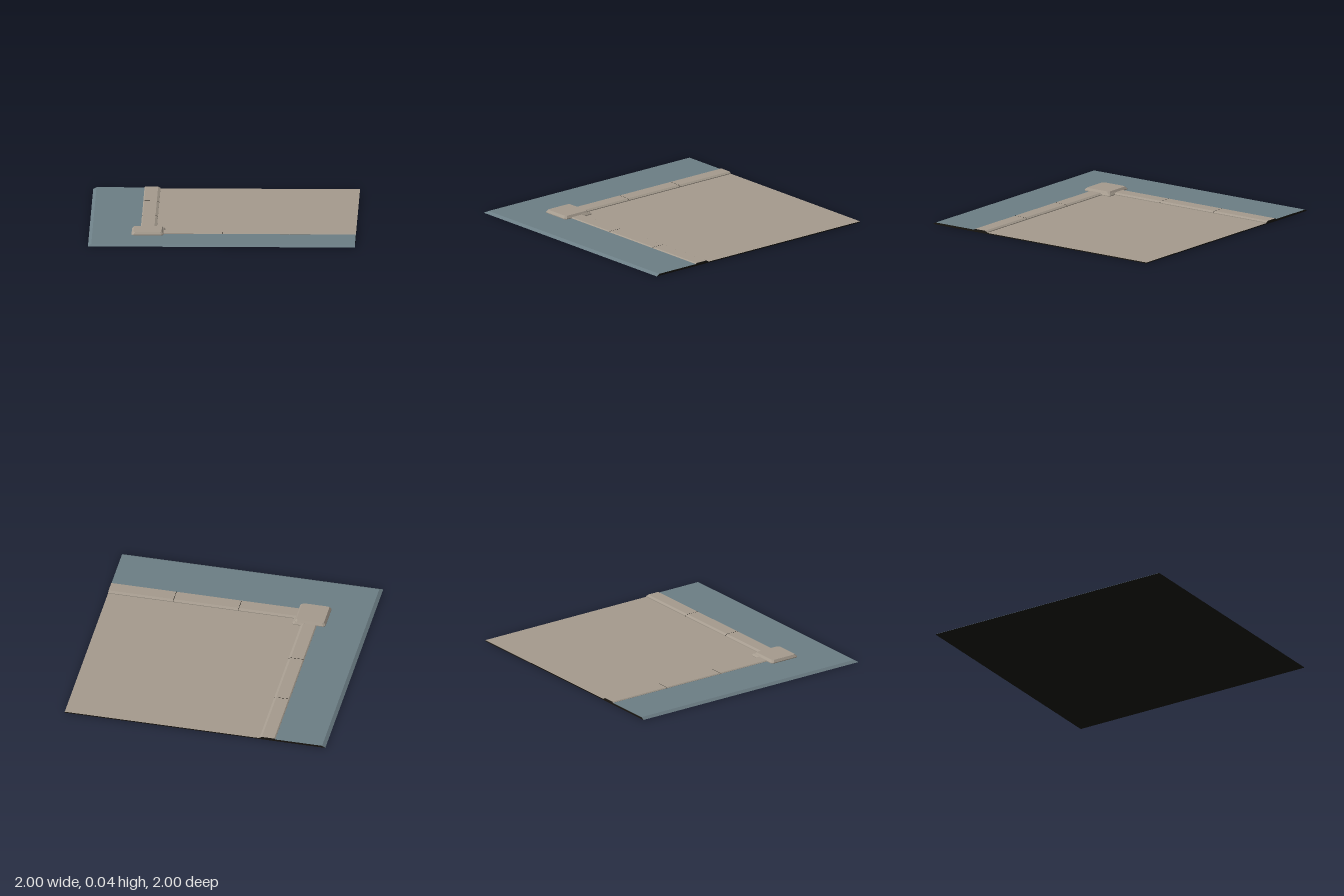
import * as THREE from 'three';

const mat = (name, color, side = THREE.FrontSide) => {
  const m = new THREE.MeshStandardMaterial({ color, side });
  m.name = name;
  return m;
};

// Flat-shaded mesh from convex polygons, corners counter-clockwise from outside
function polygons(name, material, faces) {
  const pos = [];
  for (const f of faces)
    for (let i = 1; i < f.length - 1; i++) pos.push(...f[0], ...f[i], ...f[i + 1]);
  const g = new THREE.BufferGeometry();
  g.setAttribute('position', new THREE.Float32BufferAttribute(pos, 3));
  g.computeVertexNormals();
  const mesh = new THREE.Mesh(g, material);
  mesh.name = name;
  return mesh;
}

// Horizontal loop of a rectangle with cut corners, counter-clockwise from above
function loop(cx, cz, half, y, cut) {
  const h = half, c = half - cut;
  return [[h, c], [c, h], [-c, h], [-h, c], [-h, -c], [-c, -h], [c, -h], [h, -c]]
    .reverse().map(([x, z]) => [cx + x, y, cz + z]);
}

// Solid lofted through loops from bottom to top, closed on top
function loft(name, material, loops) {
  const faces = [loops[loops.length - 1]];
  for (let k = 0; k < loops.length - 1; k++) {
    const a = loops[k], b = loops[k + 1], n = a.length;
    for (let i = 0; i < n; i++) {
      const j = (i + 1) % n;
      faces.push([a[i], a[j], b[j], b[i]]);
    }
  }
  return polygons(name, material, faces);
}

export function createModel() {
  const root = new THREE.Group();
  root.name = 'cornerTile';
  const stone = mat('stone', 0xa59b8e);
  const pavement = mat('blueGrey', 0x6c7e85);
  const dark = mat('darkUnderside', 0x191611);

  const W = 0.015;   // outer surface height
  const F = 0.008;   // inner floor height
  const E = 0.615;   // outer line of the curbs
  const I = 0.5;     // border of the inner floor
  const B = 0.975;   // top of the bevelled outer edge

  // Outer L-shaped surface and its two bevelled edges
  root.add(polygons('outerSurface', pavement, [
    [[-B, W, -1], [-B, W, B], [-E, W, B], [-E, W, -1]],
    [[-E, W, E], [-E, W, B], [1, W, B], [1, W, E]],
    [[-1, 0, -1], [-1, 0, 1], [-B, W, B], [-B, W, -1]],
    [[-1, 0, 1], [1, 0, 1], [1, W, B], [-B, W, B]],
  ]));

  // Inner floor, continued below the curbs
  root.add(polygons('innerFloor', stone, [
    [[-E, F, -1], [-E, F, E], [1, F, E], [1, F, -1]],
  ]));

  // Dark underside and cut ends
  root.add(polygons('underside', dark, [
    [[-1, 0, -1], [1, 0, -1], [1, 0, 1], [-1, 0, 1]],
  ]));
  root.add(polygons('cutEnds', dark, [
    [[1, 0, 1], [1, 0, E], [1, W, E], [1, W, B]],
    [[1, 0, E], [1, 0, -1], [1, F, -1], [1, F, E]],
    [[-E, 0, -1], [-1, 0, -1], [-B, W, -1], [-E, W, -1]],
    [[1, 0, -1], [-E, 0, -1], [-E, F, -1], [1, F, -1]],
  ]));

  // Curb stones: bevelled profile, swept between joints
  const profile = new THREE.Shape(
    [[0, 0.004], [0, 0.016], [0.008, 0.022], [0.102, 0.022], [0.12, 0.013], [0.12, 0.004]]
      .map(p => new THREE.Vector2(...p)));
  const gap = 0.0015;
  function curb(name, from, to) {
    const g = new THREE.ExtrudeGeometry(profile, { depth: to - from, bevelEnabled: false });
    g.translate(0, 0, from);
    const m = new THREE.Mesh(g, [dark, stone]);
    m.name = name;
    return m;
  }
  const sideCurbs = new THREE.Group();
  sideCurbs.name = 'sideCurbs';
  sideCurbs.position.x = -E;
  const frontCurbs = new THREE.Group();
  frontCurbs.name = 'frontCurbs';
  frontCurbs.position.z = E;
  frontCurbs.rotation.y = Math.PI / 2;
  for (const [a, b] of [[-1, -0.5 - gap], [-0.5 + gap, -gap], [gap, 0.5]])
    sideCurbs.add(curb('curbStone', a, b));
  for (const [a, b] of [[-I, -gap], [gap, 0.5 - gap], [0.5 + gap, 1]])
    frontCurbs.add(curb('curbStone', a, b));
  root.add(sideCurbs, frontCurbs);

  // Corner block with sloping sides, and the low foot at its inner corner
  root.add(loft('cornerBlock', stone, [
    loop(-0.56, 0.552, 0.12, 0.01, 0.014),
    loop(-0.56, 0.552, 0.12, 0.02, 0.014),
    loop(-0.56, 0.552, 0.105, 0.037, 0.012),
  ]));
  root.add(loft('cornerFoot', stone, [
    loop(-0.485, 0.477, 0.057, 0.004, 0.01),
    loop(-0.485, 0.477, 0.057, 0.013, 0.01),
    loop(-0.485, 0.477, 0.044, 0.025, 0.008),
  ]));
  return root;
}
